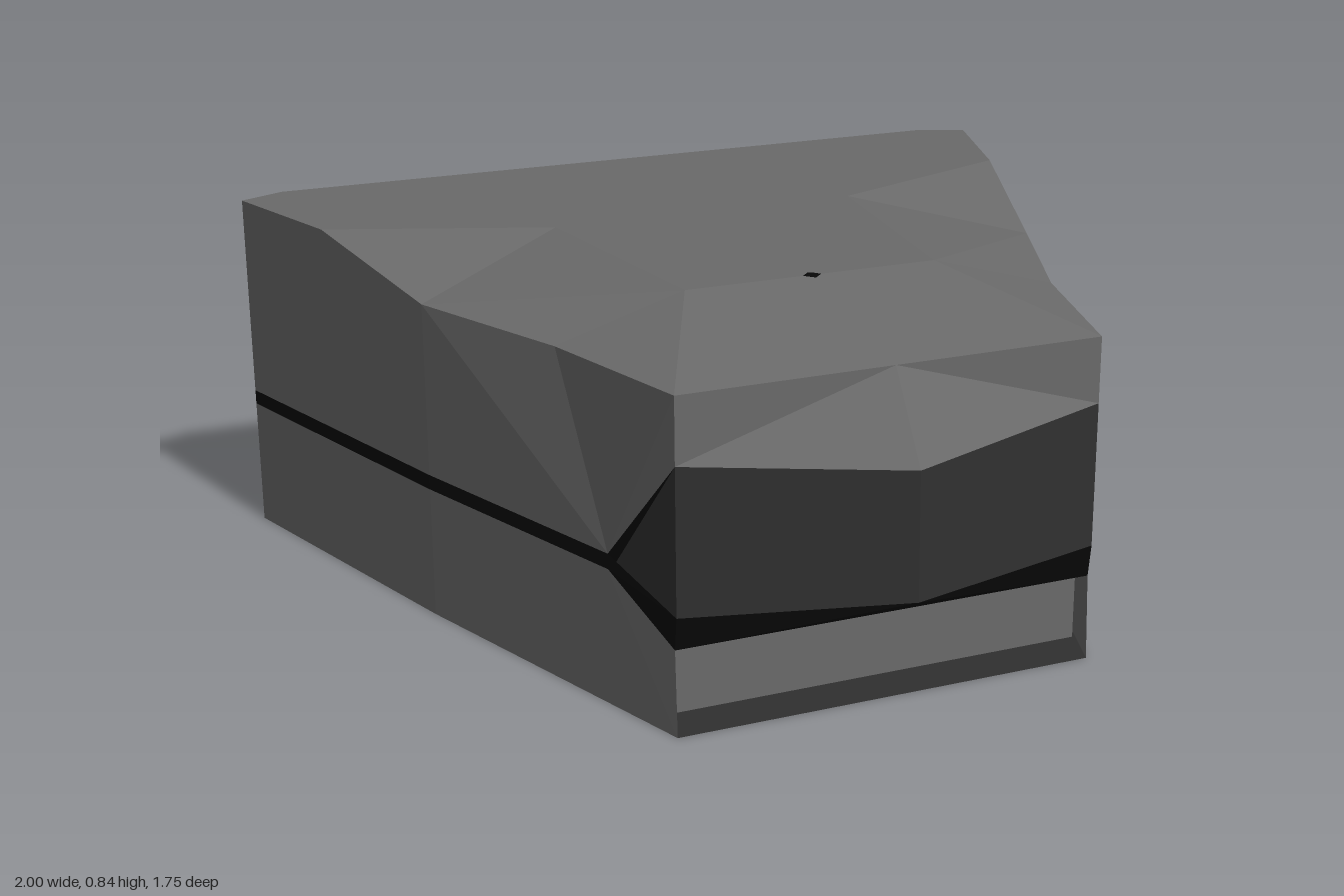
import * as THREE from 'three';

const mat = (name, color) =>
  new THREE.MeshStandardMaterial({ name, color, flatShading: true, side: THREE.DoubleSide });

// Flat-faced mesh from convex polygons given for the +x half, mirrored to -x.
function mirrored(name, material, polygons) {
  const pos = [];
  const tri = (a, b, c) => pos.push(...a, ...b, ...c);
  const flip = ([x, y, z]) => [-x, y, z];
  for (const p of polygons) {
    for (let i = 1; i < p.length - 1; i++) {
      tri(p[0], p[i], p[i + 1]);
      tri(flip(p[0]), flip(p[i + 1]), flip(p[i]));
    }
  }
  const g = new THREE.BufferGeometry();
  g.setAttribute('position', new THREE.Float32BufferAttribute(pos, 3));
  g.computeVertexNormals();
  const mesh = new THREE.Mesh(g, material);
  mesh.name = name;
  return mesh;
}

export function createModel() {
  const grey = mat('shell grey', 0x6a6a6a);
  const dark = mat('dark grey', 0x303030);
  const black = mat('seam black', 0x080808);
  const group = new THREE.Group();
  group.name = 'wedgeCase';

  const Y = 0.835, S = 0.75, seamLo = 0.31, seamHi = 0.345;
  const outline = [[0, -0.87], [0.89, -0.87], [1, -0.82], [0.77, -0.06]];
  const at = ([x, z], y) => [x, y, z];

  // Vertical wall strips around the back and rear sides
  const walls = (y0, y1, n) => outline.slice(0, n).map((a, i) => {
    const b = outline[i + 1];
    return [at(a, y0), at(a, y1), at(b, y1), at(b, y0)];
  });

  // Key corners
  const shoulder = [0.77, S, -0.06], waist = [0.6, S, 0.35], brow = [0.49, S, 0.75];
  const rise = [0.89, Y, -0.47];
  const lipTop = [0.49, 0.6, 0.75], lipLow = [0.49, 0.27, 0.75], lipUnder = [0.49, 0.195, 0.74];
  const noseTop = [0, 0.56, 0.87], noseLow = [0, 0.27, 0.875];
  const lipSide = [0.55, 0.33, 0.56];
  const seamTop = [0.56, seamHi, 0.54], seamBottom = [0.56, seamLo, 0.54];

  // Upper shell sides
  group.add(mirrored('upperShell', grey, [
    ...walls(seamHi, Y, 2),
    [[1, seamHi, -0.82], [1, Y, -0.82], rise, shoulder, [0.77, seamHi, -0.06]],
    [seamTop, [0.77, seamHi, -0.06], shoulder, waist, brow, lipTop],
    [[0, S, 0.75], noseTop, lipTop, brow],
  ]));

  // Lid: raised plateau with slopes to the front and flanks
  const p1 = [0.3, Y, 0.34], p2 = [0.353, Y, -0.06], p3 = [0.38, Y, -0.27], p4 = [0.6, Y, -0.47];
  const mid = [0.24, S, 0.75];
  group.add(mirrored('lid', grey, [
    [[0, Y, -0.87], [0, Y, 0.34], p1, p2, p3, p4, rise, [1, Y, -0.82], [0.89, Y, -0.87]],
    [[0, Y, 0.34], [0, S, 0.75], mid, p1],
    [p1, mid, brow, waist],
    [p1, waist, shoulder, p2],
    [p2, shoulder, p3],
    [p3, shoulder, rise, p4],
  ]));

  // Lower shell with a shallow recess under the front lip
  group.add(mirrored('lowerShell', grey, [
    ...walls(0, seamLo, 3),
    [seamBottom, lipUnder, [0.49, 0, 0.75], [0.77, 0, -0.06], [0.77, seamLo, -0.06]],
    [[0, 0.195, 0.64], [0, 0, 0.64], [0.52, 0, 0.64], [0.52, 0.195, 0.64]],
  ]));

  // Black seam running round the case and framing the lip
  group.add(mirrored('seam', black, [
    ...walls(seamLo, seamHi, 3),
    [seamTop, seamBottom, [0.77, seamLo, -0.06], [0.77, seamHi, -0.06]],
    [lipTop, lipSide, seamTop],
    [lipLow, lipUnder, seamBottom, seamTop, lipSide],
    [noseLow, [0, 0.195, 0.74], lipUnder, lipLow],
    [[0, 0.195, 0.74], [0, 0.195, 0.64], [0.52, 0.195, 0.64], lipUnder],
  ]));

  // Pointed front lip
  group.add(mirrored('frontLip', dark, [
    [noseTop, noseLow, lipLow, lipTop],
    [lipTop, lipLow, lipSide],
  ]));

  // Base plate
  group.add(mirrored('base', dark, [
    [[0, 0, -0.87], [0.89, 0, -0.87], [1, 0, -0.82], [0.77, 0, -0.06], [0.49, 0, 0.75], [0, 0, 0.75]],
  ]));

  // Small stud on the lid
  const stud = new THREE.Mesh(new THREE.OctahedronGeometry(0.022), black);
  stud.name = 'stud';
  stud.scale.y = 0.25;
  stud.position.set(0, Y, 0.34);
  group.add(stud);

  return group;
}
